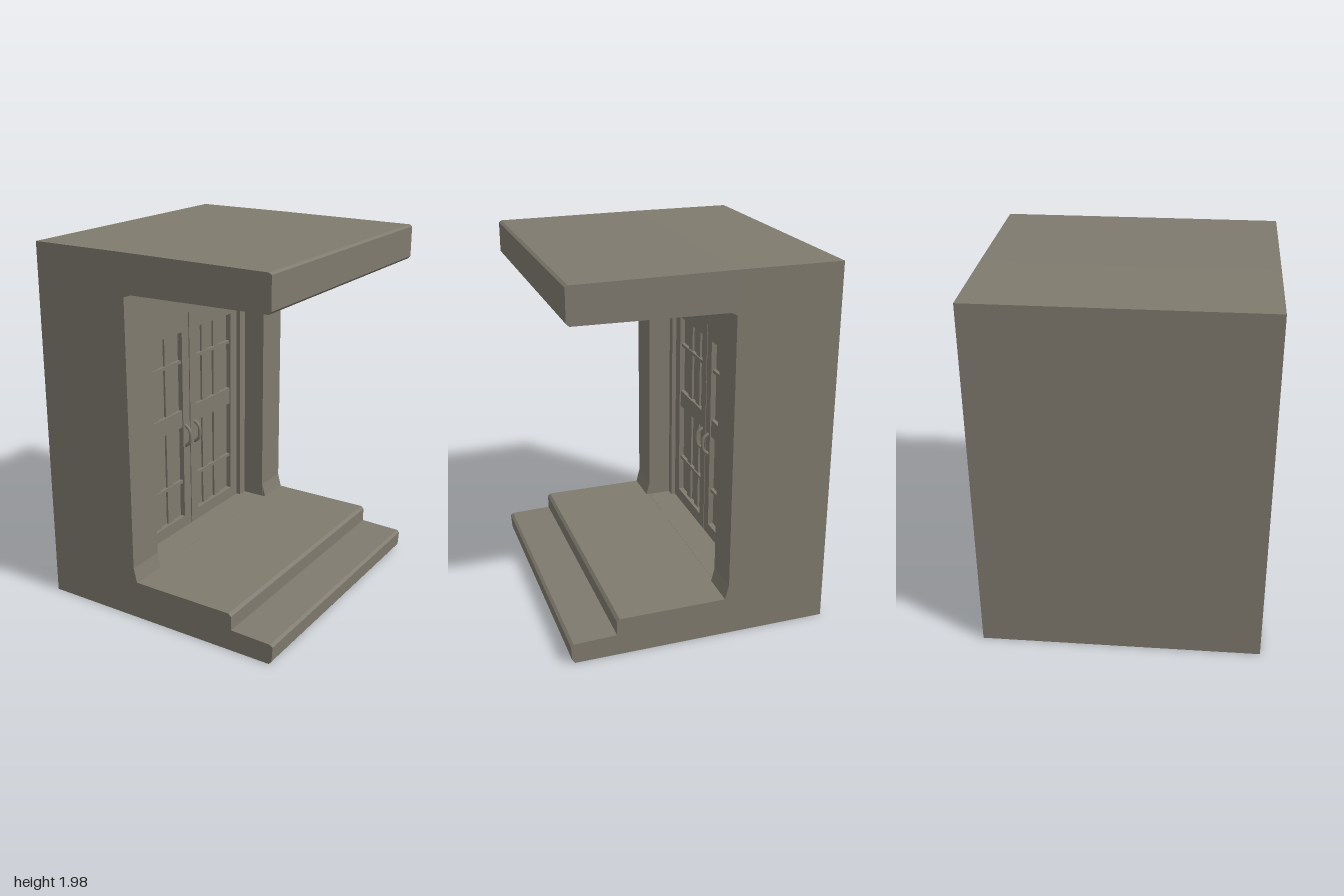
import * as THREE from 'three';

const stone = new THREE.MeshStandardMaterial({ color: 0x7f7a6e });
stone.name = 'weathered stone';

export function createModel() {
  const model = new THREE.Group();
  model.name = 'doorwayPorch';

  const add = (name, geometry, parent = model) => {
    const mesh = new THREE.Mesh(geometry, stone);
    mesh.name = name;
    parent.add(mesh);
    return mesh;
  };
  // Box given by its limits on each axis
  const box = (name, x0, x1, y0, y1, z0, z1, parent) =>
    add(name, new THREE.BoxGeometry(x1 - x0, y1 - y0, z1 - z0)
      .translate((x0 + x1) / 2, (y0 + y1) / 2, (z0 + z1) / 2), parent);

  // Upright plate facing +x with rectangular holes; rectangles are [z0, z1, y0, y1]
  const trace = (path, [z0, z1, y0, y1]) => {
    path.moveTo(-z1, y0);
    path.lineTo(-z0, y0);
    path.lineTo(-z0, y1);
    path.lineTo(-z1, y1);
    path.closePath();
    return path;
  };
  const plate = (name, outer, holes, x0, x1, parent) => {
    const shape = trace(new THREE.Shape(), outer);
    holes.forEach(h => shape.holes.push(trace(new THREE.Path(), h)));
    const g = new THREE.ExtrudeGeometry(shape, { depth: x1 - x0, bevelEnabled: false });
    return add(name, g.rotateY(Math.PI / 2).translate(x0, 0, 0), parent);
  };

  const Z = 0.758, bottom = 0.01, top = 1.99;

  // Thick wall with the door recess
  box('backWall', -0.71, -0.36, bottom, top, -Z, Z);
  plate('recessedWall', [-Z, Z, bottom, top], [[-0.555, 0.545, 0.22, 1.62]], -0.36, -0.16);

  // Slab roof and two steps, each a side profile run across the width
  const profile = (name, points) => {
    const shape = new THREE.Shape(points.map(p => new THREE.Vector2(...p)));
    add(name, new THREE.ExtrudeGeometry(shape, { depth: 2 * Z, bevelEnabled: false }).translate(0, 0, -Z));
  };
  profile('roofSlab', [[-0.16, 1.77], [-0.13, 1.785], [0.655, 1.795], [0.67, 1.81],
    [0.67, 1.975], [0.655, 1.985], [-0.16, top]]);
  profile('steps', [[-0.16, bottom], [0.68, bottom], [0.695, 0.03], [0.7, 0.11], [0.685, 0.122],
    [0.455, 0.128], [0.455, 0.205], [0.44, 0.22], [-0.16, 0.22]]);
  // Sloping jamb feet where the wall meets the step
  for (const [z0, z1] of [[-Z, -0.56], [0.55, Z]]) {
    const foot = new THREE.Shape([[-0.16, 0.22], [-0.14, 0.22], [-0.16, 0.3]].map(p => new THREE.Vector2(...p)));
    add('jambFoot', new THREE.ExtrudeGeometry(foot, { depth: z1 - z0, bevelEnabled: false }).translate(0, 0, z0));
  }

  // Door frame, lintel trim and double door leaves
  const doors = new THREE.Group();
  doors.name = 'doubleDoors';
  model.add(doors);
  plate('doorFrame', [-0.555, 0.545, 0.22, 1.62], [[-0.5, 0.5, 0.22, 1.525]], -0.36, -0.29, doors);
  box('lintelTrim', -0.29, -0.275, 1.535, 1.585, -0.505, 0.505, doors);
  box('floorOfRecess', -0.36, -0.155, 0.2, 0.221, -0.555, 0.545, doors);

  for (const s of [1, -1]) {
    // Limits measured from the centre line, mirrored for the other leaf
    const span = (a, b) => (s > 0 ? [a, b] : [-b, -a]);
    plate('doorLeaf', [...span(0.004, 0.5), 0.221, 1.525], [[...span(0.068, 0.43), 0.29, 1.415]],
      -0.36, -0.315, doors);
    box('doorPane', -0.36, -0.345, 0.29, 1.415, ...span(0.068, 0.43), doors);
    for (const z of [0.18, 0.3])
      box('uprightBar', -0.345, -0.333, 0.29, 1.415, ...span(z - 0.028, z + 0.028), doors);
    for (const y of [0.51, 1.24])
      box('crossBar', -0.345, -0.325, y - 0.009, y + 0.009, ...span(0.068, 0.43), doors);
    box('middleRail', -0.345, -0.322, 0.85, 0.95, ...span(0.068, 0.43), doors);

    // Pull handle
    const pull = new THREE.CatmullRomCurve3([
      new THREE.Vector3(-0.318, 0.73, s * 0.046), new THREE.Vector3(-0.285, 0.76, s * 0.046),
      new THREE.Vector3(-0.285, 0.83, s * 0.046), new THREE.Vector3(-0.318, 0.86, s * 0.046)]);
    add('doorHandle', new THREE.TubeGeometry(pull, 12, 0.01, 8), doors);
  }
  return model;
}
